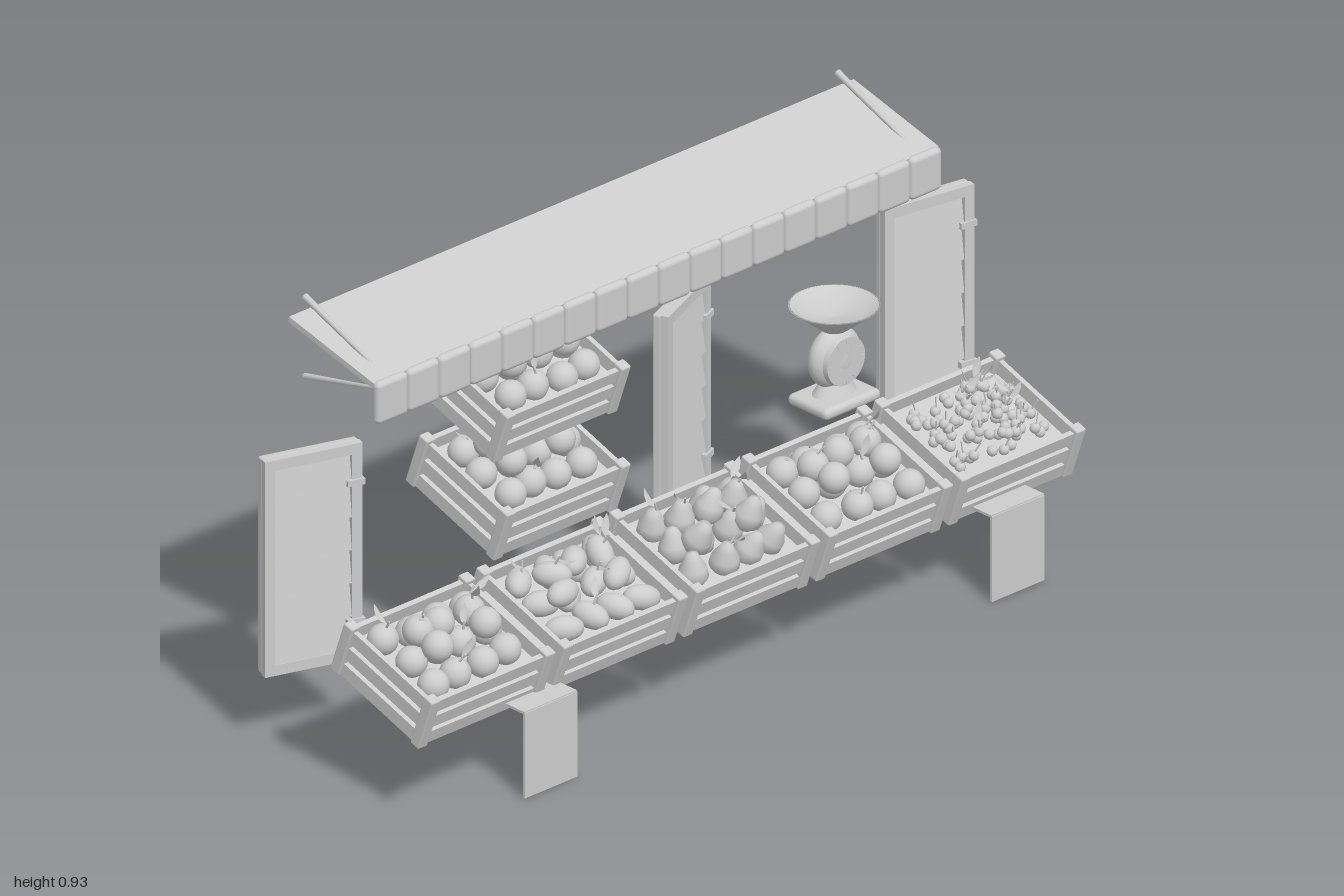
import * as THREE from 'three';
import { RoundedBoxGeometry } from 'three/addons/geometries/RoundedBoxGeometry.js';

const clay = new THREE.MeshStandardMaterial({ color: 0xcccccc, side: THREE.DoubleSide });
clay.name = 'light grey';

let seed = 7;
const rand = (a, b) => {
  seed = (seed * 16807) % 2147483647;
  return a + (b - a) * (seed / 2147483647);
};

function add(parent, name, geometry, x = 0, y = 0, z = 0) {
  const mesh = new THREE.Mesh(geometry, clay);
  mesh.name = name;
  mesh.position.set(x, y, z);
  parent.add(mesh);
  return mesh;
}
const box = (parent, name, w, h, d, x, y, z) => add(parent, name, new THREE.BoxGeometry(w, h, d), x, y, z);

function group(parent, name, x = 0, y = 0, z = 0) {
  const g = new THREE.Group();
  g.name = name;
  g.position.set(x, y, z);
  parent.add(g);
  return g;
}

// Tapered rod between two points
function rod(parent, name, a, b, ra, rb) {
  const from = new THREE.Vector3(...a), to = new THREE.Vector3(...b);
  const dir = to.clone().sub(from);
  const mesh = add(parent, name, new THREE.CylinderGeometry(rb, ra, dir.length(), 8));
  mesh.position.copy(from).add(to).multiplyScalar(0.5);
  mesh.quaternion.setFromUnitVectors(new THREE.Vector3(0, 1, 0), dir.normalize());
  return mesh;
}

// Fruit shapes
const R = 0.034;
const pearProfile = [[0, -0.034], [0.02, -0.031], [0.033, -0.012], [0.03, 0.008], [0.018, 0.03], [0.012, 0.043], [0, 0.048]]
  .map(p => new THREE.Vector2(...p));
const fruitShapes = {
  round: new THREE.SphereGeometry(R, 16, 12),
  long: new THREE.SphereGeometry(R, 16, 12).scale(0.82, 0.82, 1.25),
  pear: new THREE.LatheGeometry(pearProfile, 16),
};
const berryShape = new THREE.SphereGeometry(0.012, 10, 7);

// Pointed leaf, folded along its midrib
const leafShape = new THREE.PlaneGeometry(0.018, 0.05, 2, 4).translate(0, 0.025, 0);
const lp = leafShape.attributes.position;
for (let i = 0; i < lp.count; i++) {
  const t = lp.getY(i) / 0.05, x = lp.getX(i) * Math.sin(Math.PI * t);
  lp.setXYZ(i, x, lp.getY(i), Math.abs(x) * 0.5 - t * t * 0.01);
}
leafShape.computeVertexNormals();

function stemAndLeaf(parent, x, y, z) {
  const lean = rand(-0.012, 0.012);
  rod(parent, 'stem', [x, y, z], [x + lean, y + 0.024, z + rand(-0.01, 0.01)], 0.003, 0.002);
  const leaf = add(parent, 'leaf', leafShape, x + lean * 0.6, y + 0.012, z);
  leaf.rotation.set(rand(0.6, 1.3), rand(0, 6.28), 0, 'YXZ');
}

// Heaped fruit: a full lower layer with a smaller layer on top
function fillFruit(crate, kind) {
  const place = (x, y, z, top) => {
    const f = add(crate, 'fruit', fruitShapes[kind], x + rand(-0.008, 0.008), y + rand(-0.005, 0.005), z + rand(-0.006, 0.006));
    if (kind === 'long') f.rotation.set(rand(-0.3, 0.3), rand(-1.4, 1.4), 0);
    else f.rotation.set(rand(-0.3, 0.3), rand(0, 6), rand(-0.3, 0.3));
    const p = f.position;
    if (top) stemAndLeaf(crate, p.x, p.y + (kind === 'pear' ? 0.042 : R * 0.9), p.z);
  };
  for (let i = 0; i < 4; i++)
    for (let j = 0; j < 3; j++) place(-0.11 + i * 0.073, 0.042, -0.073 + j * 0.073, (i + j) % 3 === 0);
  for (let i = 0; i < 3; i++)
    for (let j = 0; j < 2; j++) if (i !== 1 || j !== 1) place(-0.074 + i * 0.074, 0.085, -0.036 + j * 0.06, (i + j) % 2 === 0);
}

function fillBerries(crate) {
  for (let i = 0; i < 95; i++) {
    const x = rand(-0.13, 0.13), z = rand(-0.095, 0.095);
    const heap = 0.06 * (1 - (x / 0.16) ** 2) * (1 - (z / 0.12) ** 2);
    const y = 0.03 + rand(0.2, 1) * heap;
    add(crate, 'berry', berryShape, x, y, z);
    if (i % 3 === 0) rod(crate, 'berryStem', [x, y + 0.01, z], [x + rand(-0.015, 0.015), y + 0.038, z + rand(-0.012, 0.012)], 0.0015, 0.0015);
    if (i % 12 === 0) stemAndLeaf(crate, x, y + 0.01, z);
  }
}

// Slatted crate, tipped towards the front
function makeCrate(parent, x, y, z, kind) {
  const crate = group(parent, 'crate', x, y, z);
  crate.rotation.x = 0.34;
  for (const sx of [-1, 1])
    for (const sz of [-1, 1])
      add(crate, 'cratePost', new RoundedBoxGeometry(0.027, 0.128, 0.027, 2, 0.004), sx * 0.164, 0, sz * 0.127);
  for (let i = 0; i < 3; i++) {
    const sy = -0.047 + i * 0.043;
    for (const s of [-1, 1]) {
      box(crate, 'longSlat', 0.33, 0.031, 0.012, 0, sy, s * 0.127);
      box(crate, 'endSlat', 0.012, 0.031, 0.25, s * 0.164, sy, 0);
    }
  }
  box(crate, 'crateBottom', 0.33, 0.008, 0.25, 0, -0.058, 0);
  box(crate, 'crateFilling', 0.318, 0.006, 0.244, 0, 0.018, 0);
  if (kind === 'berries') fillBerries(crate);
  else fillFruit(crate, kind);
}

// Louvred shutter with a solid back
function makeShutter(parent, x, z, yaw) {
  const w = 0.223, h = 0.495;
  const shutter = group(parent, 'shutter', x, 0.412, z);
  shutter.rotation.y = yaw;
  add(shutter, 'shutterBack', new RoundedBoxGeometry(w, h, 0.02, 2, 0.005), 0, 0, -0.008);
  for (const s of [-1, 1]) {
    box(shutter, 'stile', 0.024, h, 0.018, s * (w / 2 - 0.012), 0, 0.01);
    box(shutter, 'rail', w - 0.048, 0.024, 0.018, 0, s * (h / 2 - 0.012), 0.01);
    box(shutter, 'hinge', 0.04, 0.014, 0.012, w / 2 - 0.016, s * 0.16, 0.018);
  }
  for (let i = 0; i < 6; i++)
    box(shutter, 'louvre', w - 0.048, 0.07, 0.008, 0, -0.19 + i * 0.076, 0.008).rotation.x = -0.16;
}

export function createModel() {
  const stall = new THREE.Group();
  stall.name = 'fruitStall';

  // Front row of crates and two stacked behind
  ['round', 'long', 'pear', 'round', 'berries'].forEach((kind, i) =>
    makeCrate(stall, -0.822 + i * 0.379, 0.282, 0.17, kind));
  makeCrate(stall, -0.262, 0.623, -0.19, 'round');
  makeCrate(stall, -0.262, 0.398, -0.19, 'round');

  // Shutters
  makeShutter(stall, -0.867, -0.18, -0.32);
  makeShutter(stall, 0.19, -0.175, 0.4);
  makeShutter(stall, 0.878, -0.168, -0.17);

  // Bracket legs under the outer crates
  for (const x of [-0.675, 0.66]) {
    const leg = group(stall, 'bracketLeg', x);
    box(leg, 'legPlate', 0.15, 0.195, 0.006, 0, 0.0975, 0.337);
    box(leg, 'shelfPlate', 0.15, 0.006, 0.255, 0, 0.195, 0.21);
  }

  // Awning with a valance of rounded tabs
  const awning = group(stall, 'awning');
  box(awning, 'awningRoof', 1.614, 0.013, 0.262, 0.003, 0.858, -0.183).rotation.x = 0.25;
  for (let i = 0; i < 18; i++)
    add(awning, 'valanceTab', new RoundedBoxGeometry(0.089, 0.097, 0.024, 3, 0.0118), -0.759 + i * 0.0897, 0.786, -0.053);
  for (const x of [-0.757, 0.765]) {
    rod(awning, 'upperPole', [x, 0.822, -0.06], [x, 0.927, -0.31], 0.003, 0.008);
    rod(awning, 'lowerPole', [x, 0.8, -0.06], [x, 0.744, -0.31], 0.003, 0.007);
  }

  // Weighing scale
  const scale = group(stall, 'weighingScale', 0.6, 0, -0.147);
  add(scale, 'scaleBase', new RoundedBoxGeometry(0.16, 0.026, 0.12, 3, 0.012), 0, 0.295, 0);
  add(scale, 'scaleFoot', new THREE.CylinderGeometry(0.035, 0.055, 0.03, 24), 0, 0.32, 0).scale.z = 0.7;
  add(scale, 'scaleBody', new THREE.SphereGeometry(0.068, 24, 16), 0, 0.388, 0).scale.z = 0.55;
  add(scale, 'dial', new THREE.CylinderGeometry(0.054, 0.056, 0.012, 28), 0, 0.388, 0.03).rotation.x = Math.PI / 2;
  const needle = box(scale, 'needle', 0.005, 0.045, 0.003, 0.008, 0.398, 0.037);
  needle.rotation.z = -0.4;
  for (let i = 0; i < 12; i++) {
    const a = (i / 12) * Math.PI * 2;
    box(scale, 'dialTick', 0.003, 0.008, 0.002, Math.sin(a) * 0.046, 0.388 + Math.cos(a) * 0.046, 0.0365).rotation.z = -a;
  }
  const pan = [[0, 0.45], [0.028, 0.452], [0.096, 0.506], [0.092, 0.507], [0.06, 0.487], [0, 0.479]];
  add(scale, 'pan', new THREE.LatheGeometry(pan.map(p => new THREE.Vector2(...p)), 32));

  return stall;
}
